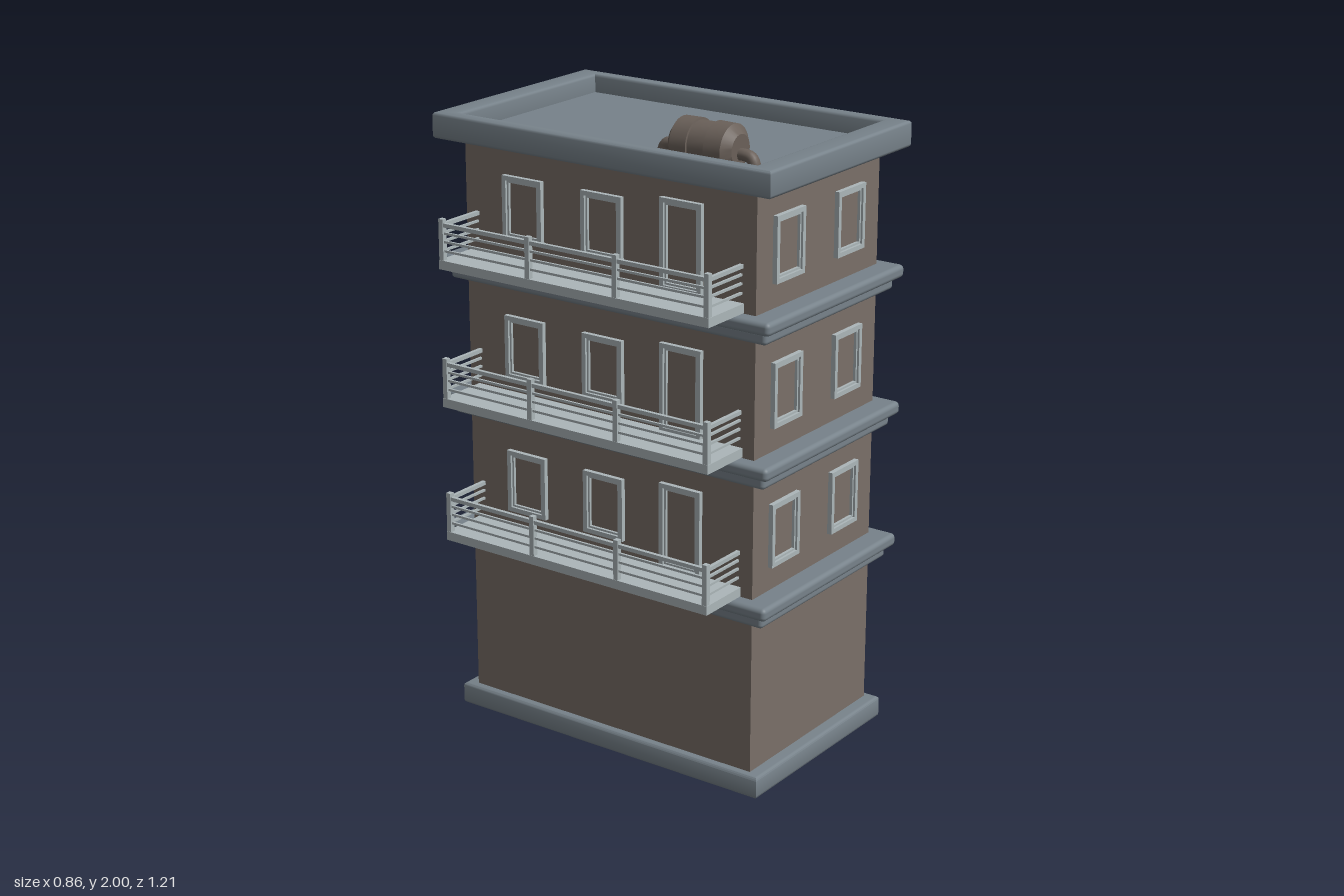
import * as THREE from 'three';
import { toCreasedNormals } from 'three/addons/utils/BufferGeometryUtils.js';
import { RoundedBoxGeometry } from 'three/addons/geometries/RoundedBoxGeometry.js';

const mat = (name, color) => {
  const m = new THREE.MeshStandardMaterial({ color });
  m.name = name;
  return m;
};

export function createModel() {
  const wall = mat('brown wall', 0x7a6f68);
  const trim = mat('slate trim', 0x77828a);
  const pale = mat('pale frame', 0xacb6b9);
  const dark = mat('dark brown', 0x6a6059);
  const model = new THREE.Group();
  model.name = 'apartmentBuilding';

  const add = (parent, name, geo, m) => {
    const mesh = new THREE.Mesh(geo, m);
    mesh.name = name;
    parent.add(mesh);
    return mesh;
  };
  // Box given by its limits on each axis, optionally with rounded edges
  const box = (parent, name, m, x0, x1, y0, y1, z0, z1, r = 0) => {
    const s = [x1 - x0, y1 - y0, z1 - z0];
    const geo = r ? new RoundedBoxGeometry(...s, 3, r) : new THREE.BoxGeometry(...s);
    const mesh = add(parent, name, geo, m);
    mesh.position.set((x0 + x1) / 2, (y0 + y1) / 2, (z0 + z1) / 2);
    return mesh;
  };
  const path = (pts) => pts.map(([x, z]) => new THREE.Vector2(x, -z));
  // Bevelled horizontal slab from an outline in x and z
  const slab = (name, pts, hole, y0, y1, b) => {
    const shape = new THREE.Shape(path(pts));
    if (hole) shape.holes.push(new THREE.Path(path(hole)));
    const geo = new THREE.ExtrudeGeometry(shape, {
      depth: y1 - y0 - 2 * b, bevelEnabled: true, bevelSize: b,
      bevelThickness: b, bevelOffset: -b, bevelSegments: 3,
    });
    geo.rotateX(-Math.PI / 2).translate(0, y0 + b, 0);
    return add(model, name, toCreasedNormals(geo, 0.6), trim);
  };
  const rect = (x0, x1, z0, z1) => [[x0, z0], [x0, z1], [x1, z1], [x1, z0]];

  // Rectangular frame in the xy plane, standing out towards +z
  const frame = (parent, name, x, y, w, h, t, d) => {
    const shape = new THREE.Shape(path(rect(-w / 2, w / 2, -h / 2, h / 2)));
    const a = w / 2 - t, b = h / 2 - t;
    shape.holes.push(new THREE.Path(path(rect(-a, a, -b, b))));
    const geo = new THREE.ExtrudeGeometry(shape, { depth: d + 0.005, bevelEnabled: false });
    add(parent, name, geo, pale).position.set(x, y, -0.005);
  };
  // Group placed on a wall and turned to face outwards
  const onWall = (name, x, y, z, turn) => {
    const g = new THREE.Group();
    g.name = name;
    g.position.set(x, y, z);
    g.rotation.y = turn;
    model.add(g);
    return g;
  };
  const plainWindow = (x, y, z, turn, h = 0.197) => {
    const g = onWall('plainWindow', x, y, z, turn);
    frame(g, 'outerFrame', 0, 0, 0.145, h, 0.014, 0.015);
    frame(g, 'innerFrame', 0, 0, 0.115, h - 0.03, 0.006, 0.009);
  };

  // Main walls
  box(model, 'walls', wall, -0.26, 0.38, 0.01, 1.85, -0.51, 0.53);

  // Plinth, notched at the doorway
  slab('plinth', [[-0.285, 0.57], [0.405, 0.57], [0.405, -0.55], [0.2, -0.55],
    [0.2, -0.5], [-0.085, -0.5], [-0.085, -0.55], [-0.285, -0.55]], null, 0, 0.07, 0.01);

  // Roof floor and parapet
  box(model, 'roofFloor', trim, -0.28, 0.4, 1.842, 1.862, -0.54, 0.55);
  slab('parapet', rect(-0.31, 0.43, -0.592, 0.605), rect(-0.265, 0.387, -0.519, 0.532),
    1.84, 1.92, 0.01);

  for (let i = 0; i < 3; i++) {
    const y = 0.625 + i * 0.43; // floor level of this storey

    // Two-step cornice
    box(model, 'corniceUpper', trim, -0.305, 0.425, y - 0.04, y, -0.587, 0.602, 0.014);
    box(model, 'corniceLower', trim, -0.282, 0.402, y - 0.075, y - 0.034, -0.562, 0.578, 0.012);

    // Front and back windows
    for (const x of [-0.107, 0.212]) {
      plainWindow(x, y + 0.173, 0.53, 0);
      plainWindow(x, y + 0.173, -0.51, Math.PI);
    }
    // Balcony-side windows and balcony door
    for (const z of [-0.29, 0]) plainWindow(-0.26, y + 0.173, z, -Math.PI / 2);
    plainWindow(-0.26, y + 0.16, 0.28, -Math.PI / 2, 0.27);

    // Large three-pane window
    const big = onWall('tripleWindow', 0.38, y + 0.173, 0.01, Math.PI / 2);
    frame(big, 'outerFrame', 0, 0, 0.28, 0.245, 0.018, 0.02);
    box(big, 'lintel', pale, -0.153, 0.153, 0.108, 0.13, -0.005, 0.035);
    for (const k of [-1, 0, 1]) frame(big, 'sash', k * 0.081, -0.002, 0.079, 0.205, 0.009, 0.012);

    // Small four-pane windows on either side
    for (const z of [0.236, -0.222]) {
      const g = onWall('smallWindow', 0.38, y + 0.162, z, Math.PI / 2);
      frame(g, 'outerFrame', 0, 0, 0.112, 0.16, 0.012, 0.015);
      box(g, 'lintel', pale, -0.066, 0.066, 0.076, 0.094, -0.005, 0.024);
      box(g, 'mullion', pale, -0.006, 0.006, -0.075, 0.075, -0.005, 0.012);
      box(g, 'crossbar', pale, -0.05, 0.05, 0.002, 0.014, -0.005, 0.012);
      for (const sx of [-1, 1]) for (const sy of [-1, 1])
        frame(g, 'paneFrame', sx * 0.026, sy * 0.036 + 0.004, 0.042, 0.062, 0.005, 0.008);
    }

    // Balcony slab, posts and rails
    const balcony = new THREE.Group();
    balcony.name = 'balcony';
    model.add(balcony);
    box(balcony, 'balconySlab', pale, -0.432, -0.255, y + 0.002, y + 0.03, -0.477, 0.49);
    for (const z of [-0.468, -0.147, 0.165, 0.48])
      box(balcony, 'railPost', pale, -0.431, -0.414, y + 0.025, y + 0.155, z - 0.008, z + 0.008);
    for (const [dy, t] of [[0.137, 0.012], [0.112, 0.007], [0.086, 0.007], [0.058, 0.007]]) {
      const y0 = y + dy - t / 2, y1 = y + dy + t / 2;
      box(balcony, 'longRail', pale, -0.4225 - t / 2, -0.4225 + t / 2, y0, y1, -0.468, 0.48);
      for (const z of [-0.468, 0.48])
        box(balcony, 'endRail', pale, -0.4225, -0.255, y0, y1, z - t / 2, z + t / 2);
    }
  }

  // Entrance at the back
  const door = new THREE.Group();
  door.name = 'entrance';
  model.add(door);
  box(door, 'doorPanel', wall, -0.02, 0.15, 0.005, 0.39, -0.522, -0.5);
  for (const x of [-0.04, 0.142]) box(door, 'doorJamb', pale, x, x + 0.03, 0, 0.475, -0.547, -0.505);
  box(door, 'transomBar', pale, -0.02, 0.15, 0.39, 0.41, -0.535, -0.505);
  box(door, 'canopy', pale, -0.053, 0.185, 0.47, 0.502, -0.608, -0.505);
  add(door, 'doorKnob', new THREE.SphereGeometry(0.014, 16, 12), dark).position.set(0.01, 0.165, -0.537);

  // Roof tank lying along z, on a pad
  const tank = new THREE.Group();
  tank.name = 'roofTank';
  tank.position.set(-0.182, 1.927, 0.312);
  model.add(tank);
  box(tank, 'tankPad', dark, -0.062, 0.062, -0.066, -0.056, -0.187, 0.188);
  const half = [[0, 0.108], [0.045, 0.108], [0.072, 0.086], [0.073, 0.03], [0.067, 0.029]];
  const profile = [...half.map(([r, z]) => [r, -z]), ...half.slice().reverse()]
    .map(([r, z]) => new THREE.Vector2(r, z));
  const lathe = new THREE.LatheGeometry(profile, 32).rotateX(Math.PI / 2);
  add(tank, 'tankBody', toCreasedNormals(lathe, 0.5), dark);
  for (const s of [-1, 1]) {
    const bend = new THREE.CatmullRomCurve3([[0, 0.1], [0, 0.125], [-0.006, 0.145], [-0.025, 0.155], [-0.06, 0.156]]
      .map(([y, z]) => new THREE.Vector3(0, y - 0.012, s * z)));
    add(tank, 'tankPipe', new THREE.TubeGeometry(bend, 16, 0.018, 12), dark);
  }
  return model;
}
